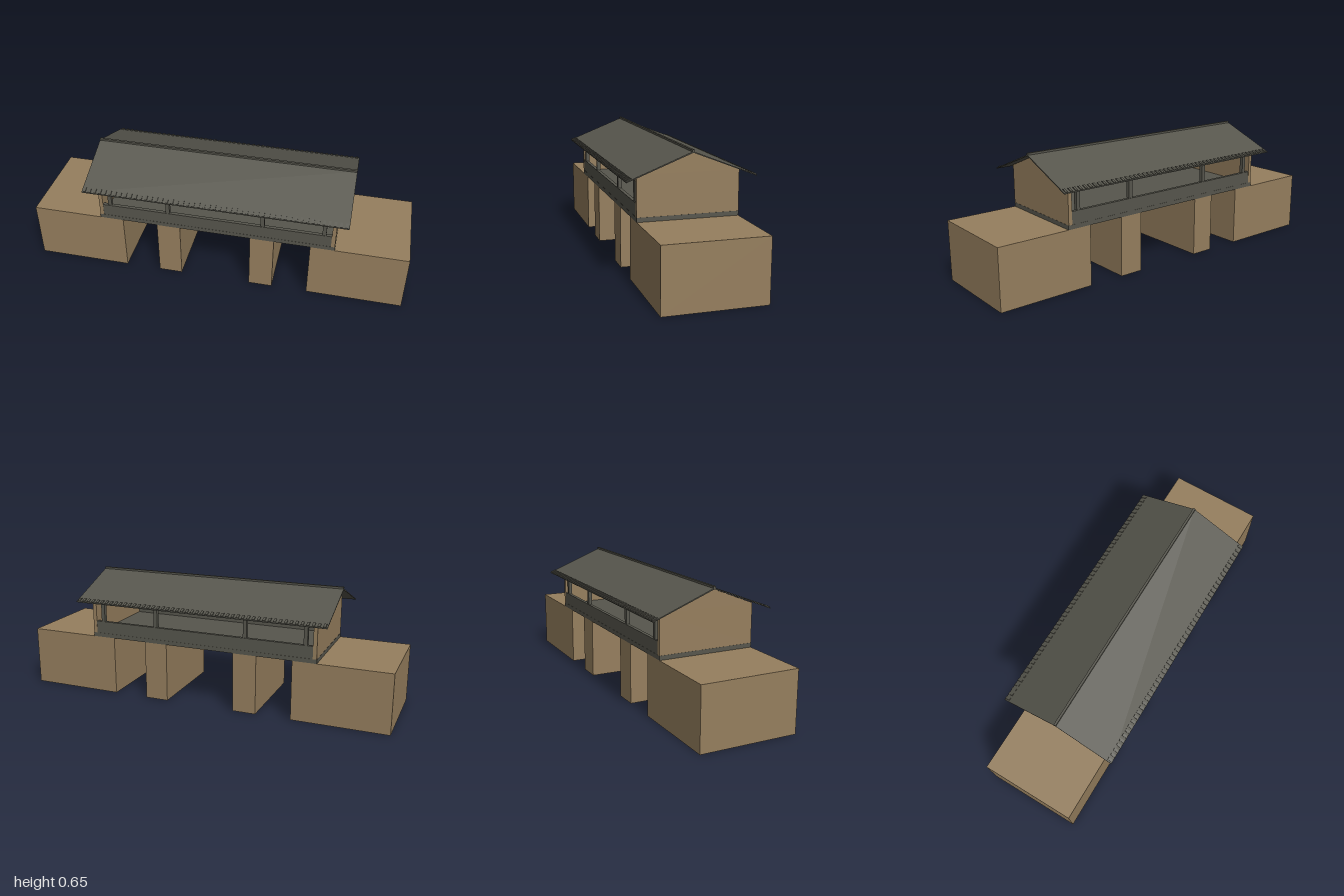
import * as THREE from 'three';

const earth = new THREE.MeshStandardMaterial({ color: 0x967f5e });
earth.name = 'tan';
const slate = new THREE.MeshStandardMaterial({ color: 0x57564d });
slate.name = 'dark grey';

export function createModel() {
  const model = new THREE.Group();
  model.name = 'coveredBridge';

  // Box given by its limits on each axis
  const box = (name, mat, [x0, x1], [y0, y1], [z0, z1]) => {
    const mesh = new THREE.Mesh(new THREE.BoxGeometry(x1 - x0, y1 - y0, z1 - z0), mat);
    mesh.name = name;
    mesh.position.set((x0 + x1) / 2, (y0 + y1) / 2, (z0 + z1) / 2);
    model.add(mesh);
    return mesh;
  };
  // Outline in (z, y) extruded along x, centred at x
  const extrudeAlongX = (name, mat, points, length, x) => {
    const shape = new THREE.Shape(points.map(([z, y]) => new THREE.Vector2(-z, y)));
    const geo = new THREE.ExtrudeGeometry(shape, { depth: length, bevelEnabled: false });
    geo.translate(0, 0, -length / 2).rotateY(Math.PI / 2);
    const mesh = new THREE.Mesh(geo, mat);
    mesh.name = name;
    mesh.position.x = x;
    model.add(mesh);
  };
  const span = (centre, size) => [centre - size / 2, centre + size / 2];

  // Abutments, piers and gable walls, mirrored at each end
  for (const s of [-1, 1]) {
    box('abutment', earth, span(s * 0.75, 0.5), [0, 0.313], [-0.25, 0.25]);
    box('pier', earth, span(s * 0.25, 0.125), [0, 0.313], [-0.25, 0.25]);
    extrudeAlongX('gableWall', earth,
      [[-0.25, 0.335], [0.25, 0.335], [0.25, 0.535], [0, 0.634], [-0.25, 0.535]], 0.02, s * 0.614);
  }

  // Deck
  box('deck', slate, [-0.625, 0.625], [0.313, 0.335], [-0.25, 0.25]);

  // Parapets, posts and top beams on both sides
  for (const s of [-1, 1]) {
    box('parapet', slate, [-0.604, 0.604], [0.335, 0.4], span(s * 0.24, 0.018));
    box('topBeam', slate, [-0.604, 0.604], [0.5, 0.525], span(s * 0.24, 0.018));
    for (const x of [-0.565, -0.25, 0.25, 0.565]) {
      box('post', slate, span(x, 0.02), [0.4, 0.5], span(s * 0.237, 0.02));
    }
  }

  // Folded roof slab and ridge cap
  extrudeAlongX('roof', slate,
    [[0.313, 0.512], [0.313, 0.517], [0, 0.64], [-0.313, 0.517], [-0.313, 0.512], [0, 0.634]], 1.37, 0);
  box('ridgeCap', slate, [-0.685, 0.685], [0.638, 0.648], [-0.006, 0.006]);

  // Row of small tiles along each eave
  const pitch = Math.atan2(0.123, 0.313);
  const count = 50;
  for (const s of [-1, 1]) {
    const tiles = new THREE.InstancedMesh(new THREE.BoxGeometry(0.013, 0.006, 0.027), slate, count);
    tiles.name = 'eaveTiles';
    const m = new THREE.Matrix4();
    for (let i = 0; i < count; i++) {
      m.makeRotationX(s * pitch);
      m.setPosition(-0.671 + (i * 1.342) / (count - 1), 0.5255 - 0.005, s * 0.3);
      tiles.setMatrixAt(i, m);
    }
    // Plain meshes, so every tile is part of the geometry
    const row = new THREE.Group();
    row.name = 'eaveTiles';
    for (let i = 0; i < count; i++) {
      const tile = new THREE.Mesh(tiles.geometry, slate);
      tile.name = 'eaveTile';
      tiles.getMatrixAt(i, m);
      tile.position.setFromMatrixPosition(m);
      tile.position.y += 0.003;
      tile.rotation.x = s * pitch;
      row.add(tile);
    }
    model.add(row);
  }
  return model;
}
